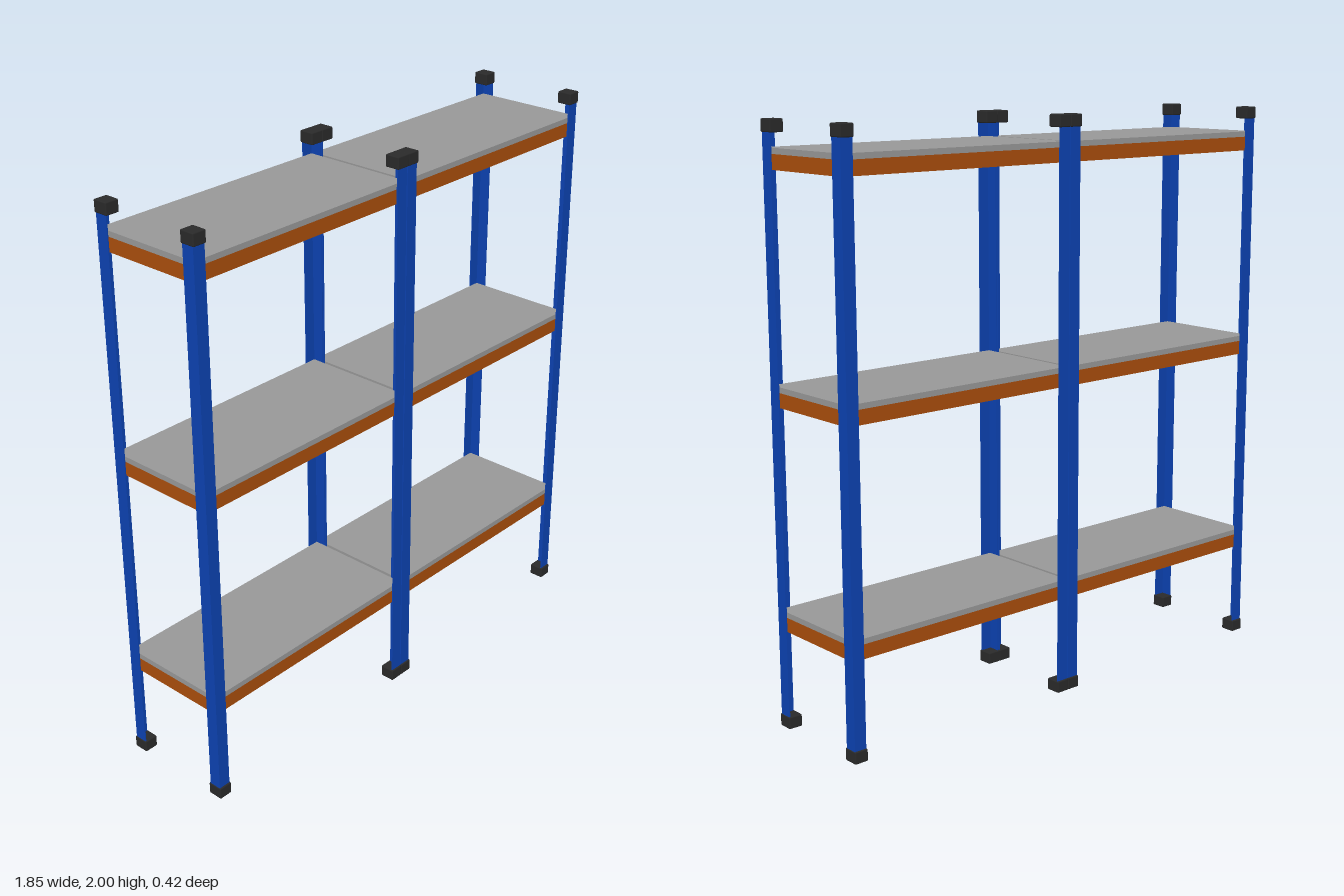
import * as THREE from 'three';
import { RoundedBoxGeometry } from 'three/addons/geometries/RoundedBoxGeometry.js';

const mat = (name, color) => new THREE.MeshStandardMaterial({ name, color });

export function createModel() {
  const blue = mat('post blue', 0x0c42b2);
  const orange = mat('beam orange', 0xaa4e0c);
  const grey = mat('shelf grey', 0x989898);
  const black = mat('cap black', 0x2a2a2a);

  const model = new THREE.Group();
  model.name = 'doubleShelvingUnit';

  const add = (parent, name, geometry, material, x, y, z) => {
    const mesh = new THREE.Mesh(geometry, material);
    mesh.name = name;
    mesh.position.set(x, y, z);
    parent.add(mesh);
    return mesh;
  };
  const box = (parent, name, material, w, h, d, x, y, z) =>
    add(parent, name, new THREE.BoxGeometry(w, h, d), material, x, y, z);

  // Each bay is centred on its own origin
  const bayX = 0.461;
  const halfW = 0.459, halfD = 0.206;    // outer faces of the posts
  const flange = 0.044, sheet = 0.004;   // angle-section posts
  const shelfW = 0.91, shelfD = 0.404;
  const capGeo = new RoundedBoxGeometry(0.05, 0.042, 0.054, 1, 0.004);

  // Angle section, corner at the origin and flanges running inward
  const angle = (sx, sz) => {
    const pts = [[0, 0], [flange, 0], [flange, sheet], [sheet, sheet], [sheet, flange], [0, flange]]
      .map(([a, b]) => new THREE.Vector2(-sx * a, sz * b));
    const geo = new THREE.ExtrudeGeometry(new THREE.Shape(pts), { depth: 1.96, bevelEnabled: false });
    return geo.rotateX(-Math.PI / 2);    // shape y becomes -z, depth becomes y
  };

  for (const side of [-1, 1]) {
    const bay = new THREE.Group();
    bay.name = side < 0 ? 'rightBay' : 'leftBay';
    bay.position.x = side * bayX;
    model.add(bay);

    // Posts with a foot and a top cap
    for (const sx of [-1, 1]) for (const sz of [-1, 1]) {
      add(bay, 'post', angle(sx, sz), blue, sx * halfW, 0.02, sz * halfD);
      for (const [name, y] of [['foot', 0.021], ['topCap', 1.979]])
        add(bay, name, capGeo, black, sx * 0.4365, y, sz * 0.184);
    }

    // Shelves: board with a shallow rim, carried by four beams
    for (const top of [0.408, 1.16, 1.912]) {
      const shelf = new THREE.Group();
      shelf.name = 'shelf';
      shelf.position.y = top;
      bay.add(shelf);
      box(shelf, 'board', grey, shelfW, 0.008, shelfD, 0, -0.004, 0);
      for (const s of [-1, 1]) {
        box(shelf, 'longRim', grey, shelfW, 0.011, 0.005, 0, -0.0135, s * (shelfD / 2 - 0.0025));
        box(shelf, 'shortRim', grey, 0.005, 0.011, shelfD - 0.01, s * (shelfW / 2 - 0.0025), -0.0135, 0);
        box(shelf, 'longBeam', orange, shelfW, 0.049, 0.006, 0, -0.0435, s * (shelfD / 2 - 0.003));
        box(shelf, 'shortBeam', orange, 0.006, 0.049, shelfD - 0.012, s * (shelfW / 2 - 0.003), -0.0435, 0);
      }
    }
  }
  return model;
}
